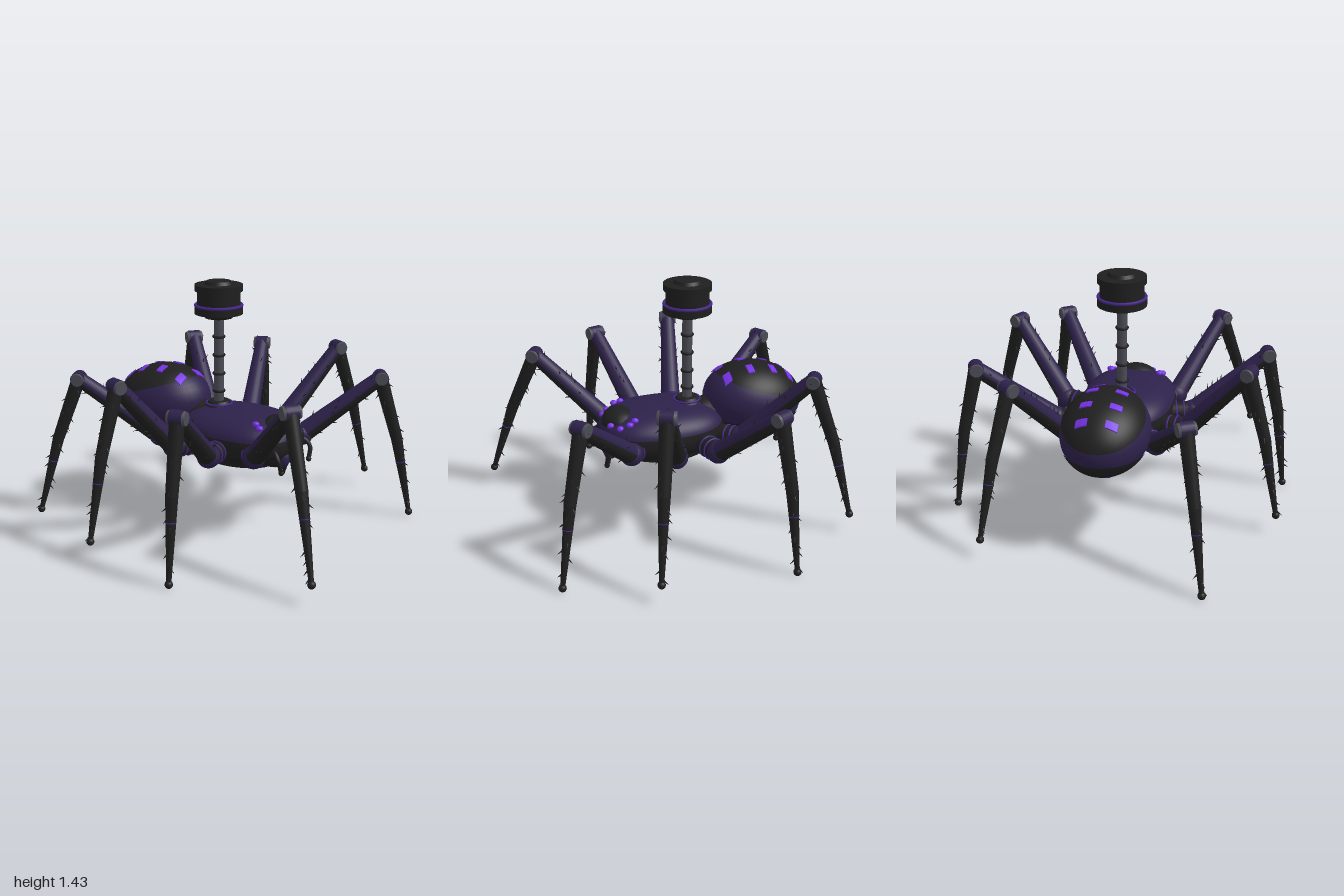
import * as THREE from 'three';

const mat = (name, color) => new THREE.MeshStandardMaterial({ name, color });
const V = (a) => new THREE.Vector3(...a);

export function createModel() {
  const black = mat('matteBlack', 0x1f1f1f);
  const purple = mat('darkPurple', 0x2d214a);
  const trim = mat('trimPurple', 0x46268a);
  const glow = mat('brightPurple', 0x7632e6);
  const grey = mat('steelGrey', 0x4b4b55);

  const model = new THREE.Group();
  model.name = 'mechanicalSpider';
  const add = (parent, name, geo, material, pos = [0, 0, 0]) => {
    const m = new THREE.Mesh(geo, material);
    m.name = name;
    m.position.set(...pos);
    parent.add(m);
    return m;
  };
  const group = (name) => {
    const g = new THREE.Group();
    g.name = name;
    model.add(g);
    return g;
  };

  // Turns a mesh so its y axis follows dir and its z axis leans upward
  const aim = (m, dir) => {
    const y = dir.clone().normalize();
    const up = Math.abs(y.y) > 0.99 ? V([1, 0, 0]) : V([0, 1, 0]);
    const z = up.addScaledVector(y, -up.dot(y)).normalize();
    const x = y.clone().cross(z);
    m.quaternion.setFromRotationMatrix(new THREE.Matrix4().makeBasis(x, y, z));
    return m;
  };
  // Tapered rod from a to b; start and sweep give part of its wall
  const rod = (parent, name, a, b, r0, r1, material, start = 0, sweep = Math.PI * 2) => {
    const d = b.clone().sub(a);
    const open = sweep < 6;
    const geo = new THREE.CylinderGeometry(r1, r0, d.length(), open ? 10 : 18, 1, open, start, sweep);
    return aim(add(parent, name, geo, material, a.clone().lerp(b, 0.5).toArray()), d);
  };
  const ring = (parent, name, at, dir, r, t, material) => {
    const geo = new THREE.TorusGeometry(r, t, 6, 24).rotateX(Math.PI / 2);
    return aim(add(parent, name, geo, material, at.toArray()), dir);
  };
  const ball = (parent, name, pos, r, material, s = [1, 1, 1]) => {
    const m = add(parent, name, new THREE.SphereGeometry(r, 18, 12), material, pos);
    m.scale.set(...s);
    return m;
  };
  let seed = 7;
  const rand = () => (seed = (seed * 16807) % 2147483647) / 2147483647;

  // Rounded boxy band of the thorax between two polar angles
  const shell = (t0, t1, size, n) => {
    const geo = new THREE.SphereGeometry(1, 48, 16, 0, Math.PI * 2, t0, t1 - t0);
    const p = geo.attributes.position;
    for (let i = 0; i < p.count; i++) {
      const v = new THREE.Vector3().fromBufferAttribute(p, i);
      const k = Math.pow(Math.abs(v.x) ** n + Math.abs(v.y) ** n + Math.abs(v.z) ** n, -1 / n);
      p.setXYZ(i, v.x * k * size[0], v.y * k * size[1], v.z * k * size[2]);
    }
    geo.computeVertexNormals();
    return geo;
  };

  // Thorax
  const thorax = group('thorax');
  const body = [0.367, 0.148, 0.275];
  add(thorax, 'carapace', shell(0, 1.34, body, 2.5), purple, [0.085, 0.56, 0]);
  add(thorax, 'thoraxUnderside', shell(1.34, Math.PI, body, 2.5), black, [0.085, 0.56, 0]);
  const plate = add(thorax, 'bellyPlate', new THREE.CylinderGeometry(0.27, 0.25, 0.045, 40), black, [0.05, 0.423, 0]);
  plate.scale.z = 0.68;

  // Head
  const head = group('head');
  ball(head, 'facePlate', [0.333, 0.62, 0], 1, black, [0.105, 0.092, 0.135]);
  ball(head, 'muzzle', [0.345, 0.565, 0], 1, black, [0.11, 0.08, 0.18]);
  ball(head, 'chin', [0.34, 0.5, 0], 1, black, [0.1, 0.09, 0.16]);
  for (const s of [1, -1]) {
    for (const [x, y, z] of [[0.285, 0.685, 0.15], [0.32, 0.67, 0.165], [0.37, 0.645, 0.145], [0.41, 0.645, 0.085]])
      ball(head, 'eye', [x, y, z * s], 0.019, glow, [1.1, 0.85, 1]);
    ball(head, 'jaw', [0.405, 0.48, 0.055 * s], 0.042, purple, [1, 1.35, 0.9]);
    rod(head, 'fang', V([0.42, 0.45, 0.055 * s]), V([0.41, 0.385, 0.045 * s]), 0.018, 0.002, black);
    const curve = new THREE.CatmullRomCurve3(
      [[0.36, 0.55, 0.12], [0.42, 0.54, 0.155], [0.45, 0.5, 0.165], [0.455, 0.43, 0.145]].map(([x, y, z]) => V([x, y, z * s])));
    add(head, 'feeler', new THREE.TubeGeometry(curve, 14, 0.013, 8), black);
    ball(head, 'feelerTip', [0.455, 0.43, 0.145 * s], 0.016, black);
  }

  // Abdomen: purple core under black back and belly plates that close up at the tail
  const abdomen = group('abdomen');
  abdomen.position.set(-0.495, 0.667, 0);
  abdomen.rotation.z = 0.15;
  const R = [0.302, 0.217, 0.248];
  const dome = (name, reach, tilt, k, material) => {
    const geo = new THREE.SphereGeometry(1, 40, 20, 0, Math.PI * 2, 0, reach).rotateZ(tilt);
    add(abdomen, name, geo, material).scale.set(R[0] * k, R[1] * k, R[2] * k);
  };
  dome('abdomenSides', Math.PI, 0, 1, purple);
  dome('abdomenTop', 1.12, 0.2, 1.015, black);
  dome('abdomenUnderside', 1.2, Math.PI - 0.25, 1.015, black);
  rod(thorax, 'waist', V([-0.34, 0.62, 0]), V([-0.18, 0.59, 0]), 0.12, 0.11, black);
  // Thin glowing plate bent to the abdomen; pinch narrows its middle
  const patch = (name, x, z, w, d, pinch) => {
    const geo = new THREE.BoxGeometry(w, 0.008, d, 8, 1, 4);
    const p = geo.attributes.position;
    for (let i = 0; i < p.count; i++) {
      const px = p.getX(i) + x;
      const pz = p.getZ(i) * (pinch ? 0.15 + 1.7 * Math.abs(p.getX(i)) / w : 1) + z;
      const h = R[1] * 1.015 * Math.sqrt(1 - ((px / R[0]) ** 2 + (pz / R[2]) ** 2) / 1.03);
      p.setXYZ(i, px, h + p.getY(i) + 0.003, pz);
    }
    geo.computeVertexNormals();
    return add(abdomen, name, geo, glow);
  };
  for (const x of [-0.18, -0.065, 0.08, 0.215]) for (const s of [1, -1])
    patch('backSpot', x, 0.082 * s, 0.038, 0.065, false);
  patch('bellyHourglass', -0.07, 0, 0.22, 0.13, true).scale.y = -1;

  // Mast and drum
  const mast = group('mast');
  mast.position.x = -0.082;
  const Y = V([0, 1, 0]);
  add(mast, 'mastFlange', new THREE.CylinderGeometry(0.06, 0.08, 0.03, 28), black, [0, 0.712, 0]);
  ring(mast, 'mastFlangeTrim', V([0, 0.712, 0]), Y, 0.076, 0.006, trim);
  add(mast, 'mastPole', new THREE.CylinderGeometry(0.029, 0.029, 0.54, 20), grey, [0, 0.97, 0]);
  for (const y of [0.785, 0.89, 1.0, 1.11]) ring(mast, 'mastRing', V([0, y, 0]), Y, 0.031, 0.008, black);
  const profile = [[0, 1.222], [0.08, 1.222], [0.1, 1.245], [0.14, 1.247], [0.14, 1.288], [0.125, 1.291], [0.125, 1.375],
    [0.138, 1.378], [0.138, 1.415], [0.082, 1.417], [0.07, 1.435], [0, 1.435]];
  // Each profile step is its own lathe so the edges stay sharp
  for (let i = 0; i < profile.length - 1; i++)
    add(mast, 'drum', new THREE.LatheGeometry(profile.slice(i, i + 2).map((q) => new THREE.Vector2(...q)), 40), black);
  ring(mast, 'drumTrim', V([0, 1.295, 0]), Y, 0.134, 0.009, trim);

  // Hairs scattered along a limb segment
  const hairs = (leg, a, b, r0, r1, count) => {
    const d = b.clone().sub(a).normalize();
    for (let i = 0; i < count; i++) {
      const t = (i + 0.5) / count;
      const out = V([rand() - 0.5, rand() - 0.5, rand() - 0.5]).cross(d).normalize();
      const base = a.clone().lerp(b, t).addScaledVector(out, (r0 + (r1 - r0) * t) * 0.9);
      const lean = out.multiplyScalar(0.025).addScaledVector(d, 0.022);
      aim(add(leg, 'hair', new THREE.ConeGeometry(0.0055, 0.036, 5), black, base.addScaledVector(lean, 0.5).toArray()), lean);
    }
  };

  // Legs: hip, knee, foot
  const legs = [
    [[-0.33, 0.53, 0.25], [-0.75, 0.855, 0.48], [-0.978, 0.022, 0.62]],
    [[-0.32, 0.53, -0.25], [-0.65, 0.935, -0.49], [-0.865, 0.115, -0.62]],
    [[-0.13, 0.53, -0.385], [-0.318, 0.885, -0.795], [-0.38, 0.022, -0.94]],
    [[-0.115, 0.54, 0.385], [-0.217, 0.955, 0.737], [-0.265, 0.115, 0.935]],
    [[0.13, 0.53, 0.385], [0.25, 0.885, 0.8], [0.285, 0.022, 0.935]],
    [[0.12, 0.54, -0.385], [0.293, 0.955, -0.728], [0.4, 0.115, -0.94]],
    [[0.34, 0.53, -0.25], [0.695, 0.87, -0.535], [0.86, 0.022, -0.662]],
    [[0.34, 0.53, 0.25], [0.715, 0.915, 0.47], [0.978, 0.115, 0.66]],
  ];
  for (const [h, k, f] of legs) {
    const leg = group('leg');
    const hip = V(h), knee = V(k), foot = V(f);
    const outward = V([foot.x - hip.x, 0, foot.z - hip.z]).normalize();
    // Hip socket
    const root = V([h[0] * 0.7, 0.52, h[2] * 0.55]);
    const axis = hip.clone().sub(root);
    rod(leg, 'hipSocket', root, hip, 0.065, 0.058, black);
    for (const t of [0.45, 0.7]) ring(leg, 'hipTrim', root.clone().lerp(hip, t), axis, 0.06, 0.006, trim);
    ball(leg, 'hipJoint', h, 0.066, purple);
    // Thigh, purple above and black below
    const along = knee.clone().sub(hip);
    const start = hip.clone().addScaledVector(along, 0.06);
    rod(leg, 'thighTop', start, knee, 0.058, 0.043, purple, -Math.PI / 2, Math.PI);
    rod(leg, 'thighBottom', start, knee, 0.058, 0.043, black, Math.PI / 2, Math.PI);
    hairs(leg, start, knee, 0.058, 0.043, 16);
    // Knee hinge with grey caps
    const side = V([-outward.z, 0, outward.x]);
    const at = (s) => knee.clone().addScaledVector(side, s);
    rod(leg, 'kneeHinge', at(-0.036), at(0.036), 0.043, 0.043, purple);
    for (const s of [1, -1]) rod(leg, 'kneeCap', at(0.036 * s), at(0.051 * s), 0.04, 0.036, grey);
    // Shin, bowed slightly outward
    const mid = knee.clone().lerp(foot, 0.45).addScaledVector(outward, 0.02);
    rod(leg, 'upperShin', knee, mid, 0.042, 0.034, black);
    ball(leg, 'shinJoint', mid.toArray(), 0.034, black);
    rod(leg, 'lowerShin', mid, foot, 0.034, 0.013, black);
    ring(leg, 'shinTrim', mid.clone().lerp(foot, 0.3), foot.clone().sub(mid), 0.027, 0.003, trim);
    hairs(leg, knee, mid, 0.042, 0.034, 10);
    hairs(leg, mid, foot, 0.034, 0.013, 10);
    ball(leg, 'foot', f, 0.022, black);
  }
  return model;
}
